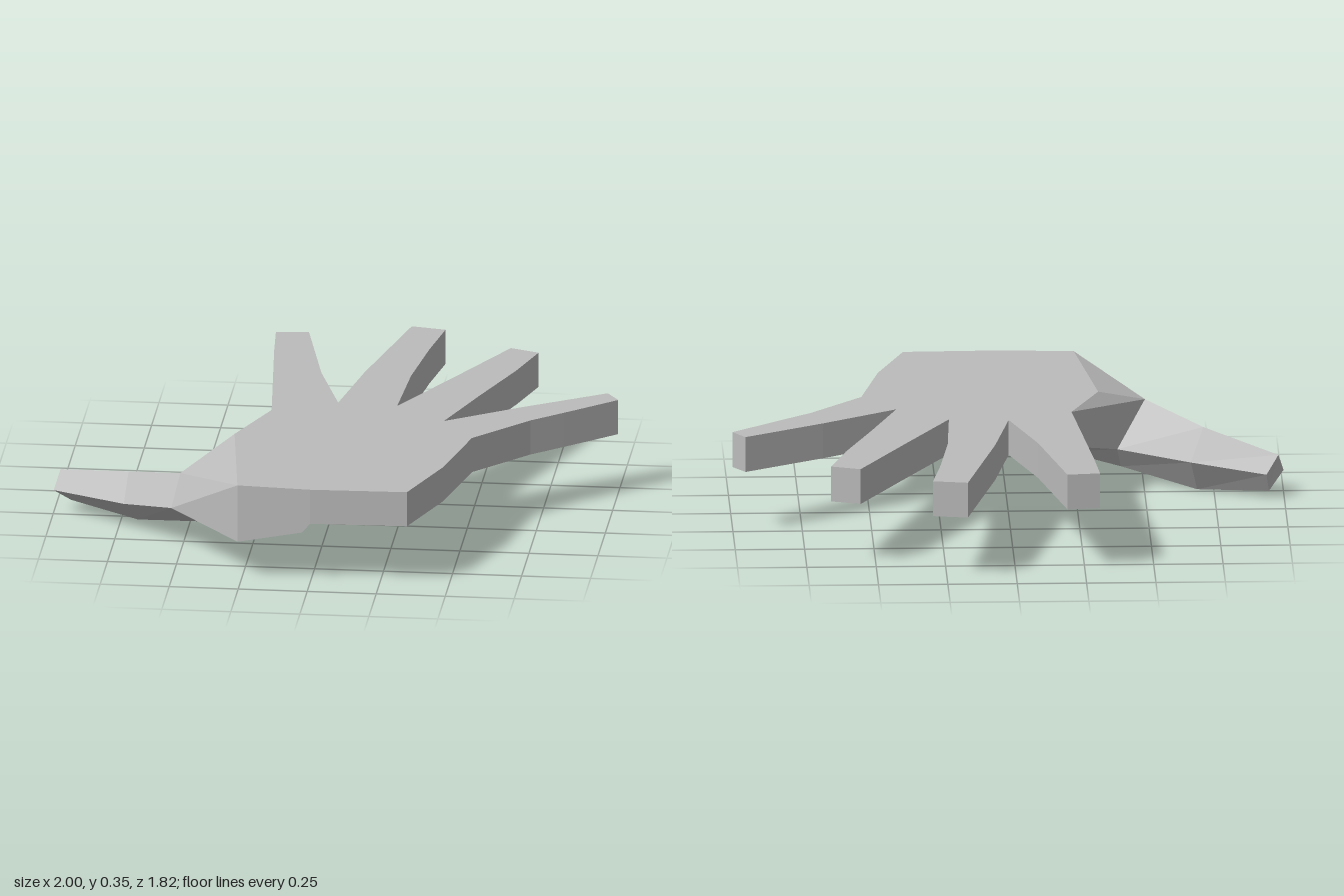
import * as THREE from 'three';

const skin = new THREE.MeshStandardMaterial({ color: 0xbcbcbc, flatShading: true });
skin.name = 'plain grey';

// Flat faces from named corner points, each turned away from an inner point
function faceted(name, faces, inner) {
  const pos = [];
  const centre = new THREE.Vector3(...inner);
  for (const face of faces) {
    const v = face.map(p => new THREE.Vector3(...p));
    for (let i = 1; i < v.length - 1; i++) {
      const tri = [v[0], v[i], v[i + 1]];
      const n = tri[1].clone().sub(tri[0]).cross(tri[2].clone().sub(tri[0]));
      if (n.dot(tri[0].clone().sub(centre)) < 0) tri.reverse();
      tri.forEach(p => pos.push(p.x, p.y, p.z));
    }
  }
  const g = new THREE.BufferGeometry();
  g.setAttribute('position', new THREE.Float32BufferAttribute(pos, 3));
  g.computeVertexNormals();
  const mesh = new THREE.Mesh(g, skin);
  mesh.name = name;
  return mesh;
}

// Palm and four fingers: one outline (x, z), extruded upwards
function palmAndFingers() {
  const outline = [
    [-0.265, 0.885], [0, 0.905], [0.35, 0.895], [0.45, 0.61], [0.52, 0.28],            // wrist, outer edge
    [0.71, 0.065], [0.82, -0.03], [1, -0.19], [0.955, -0.26], [0.67, -0.08], [0.4, 0.105], // little finger
    [0.5, -0.19], [0.6, -0.47], [0.66, -0.675], [0.555, -0.715], [0.385, -0.375], [0.215, -0.04], // ring
    [0.23, -0.375], [0.265, -0.67], [0.3, -0.89], [0.175, -0.915], [0.06, -0.4], [0, -0.055],  // middle
    [-0.095, -0.375], [-0.187, -0.815], [-0.305, -0.8], [-0.29, -0.6], [-0.23, 0.05],  // index
    [-0.335, 0.325]                                                                    // thumb side
  ];
  const shape = new THREE.Shape(outline.map(([x, z]) => new THREE.Vector2(x, -z)));
  const g = new THREE.ExtrudeGeometry(shape, { depth: 0.13, bevelEnabled: false });
  g.rotateX(-Math.PI / 2).translate(0, 0.225, 0);
  const mesh = new THREE.Mesh(g, skin);
  mesh.name = 'palmAndFingers';
  return mesh;
}

export function createModel() {
  const hand = new THREE.Group();
  hand.name = 'hand';
  hand.add(palmAndFingers());

  // Thumb cross-sections: top, outer, bottom, inner
  const sections = [
    [[-0.51, 0.27, 0.53], [-0.535, 0.16, 0.6], [-0.42, 0.05, 0.42], [-0.405, 0.13, 0.36]],
    [[-0.715, 0.21, 0.36], [-0.725, 0.11, 0.43], [-0.69, 0, 0.28], [-0.665, 0.12, 0.205]],
    [[-0.98, 0.15, 0.19], [-1, 0.083, 0.23], [-0.945, 0.024, 0.16], [-0.935, 0.095, 0.12]]
  ];
  const thumb = new THREE.Group();
  thumb.name = 'thumb';
  for (let s = 0; s < 2; s++) {
    const a = sections[s], b = sections[s + 1];
    const faces = a.map((p, i) => [p, a[(i + 1) % 4], b[(i + 1) % 4], b[i]]);
    if (s === 1) faces.push(b);
    const all = [...a, ...b];
    const inner = [0, 1, 2].map(k => all.reduce((t, p) => t + p[k], 0) / 8);
    thumb.add(faceted(s ? 'thumbTip' : 'thumbBase', faces, inner));
  }
  hand.add(thumb);

  // Ball of the thumb, joining the thumb to the side and underside of the palm
  const [top, outer, bottom, inner] = sections[0];
  const heelTop = [-0.265, 0.355, 0.885], heelMid = [-0.265, 0.225, 0.885], heelLow = [-0.265, 0.14, 0.885];
  const indexTop = [-0.23, 0.355, 0.05], indexLow = [-0.23, 0.225, 0.05];
  const sideTop = [-0.335, 0.355, 0.325];
  const web = [0, 0.225, -0.055], palm = [0.1, 0.225, 0.32];
  const wrist = [0, 0.225, 0.905], wristLow = [-0.03, 0.19, 0.903];
  const ridge = [0, 0.17, 0.41], mound = [-0.22, 0.115, 0.6];
  hand.add(faceted('thumbBall', [
    [sideTop, heelTop, top],
    [heelTop, heelLow, outer], [heelTop, outer, top],
    [indexTop, sideTop, top], [indexTop, top, inner], [indexTop, inner, indexLow],
    [indexLow, inner, web], [web, inner, palm],
    [palm, inner, bottom], [palm, bottom, ridge],
    [ridge, bottom, mound], [ridge, mound, wristLow], [mound, heelLow, wristLow],
    [palm, ridge, wristLow], [palm, wristLow, wrist],
    [bottom, outer, mound], [outer, heelLow, mound],
    [heelMid, heelLow, wristLow, wrist]
  ], [-0.25, 0.2, 0.5]));

  return hand;
}
